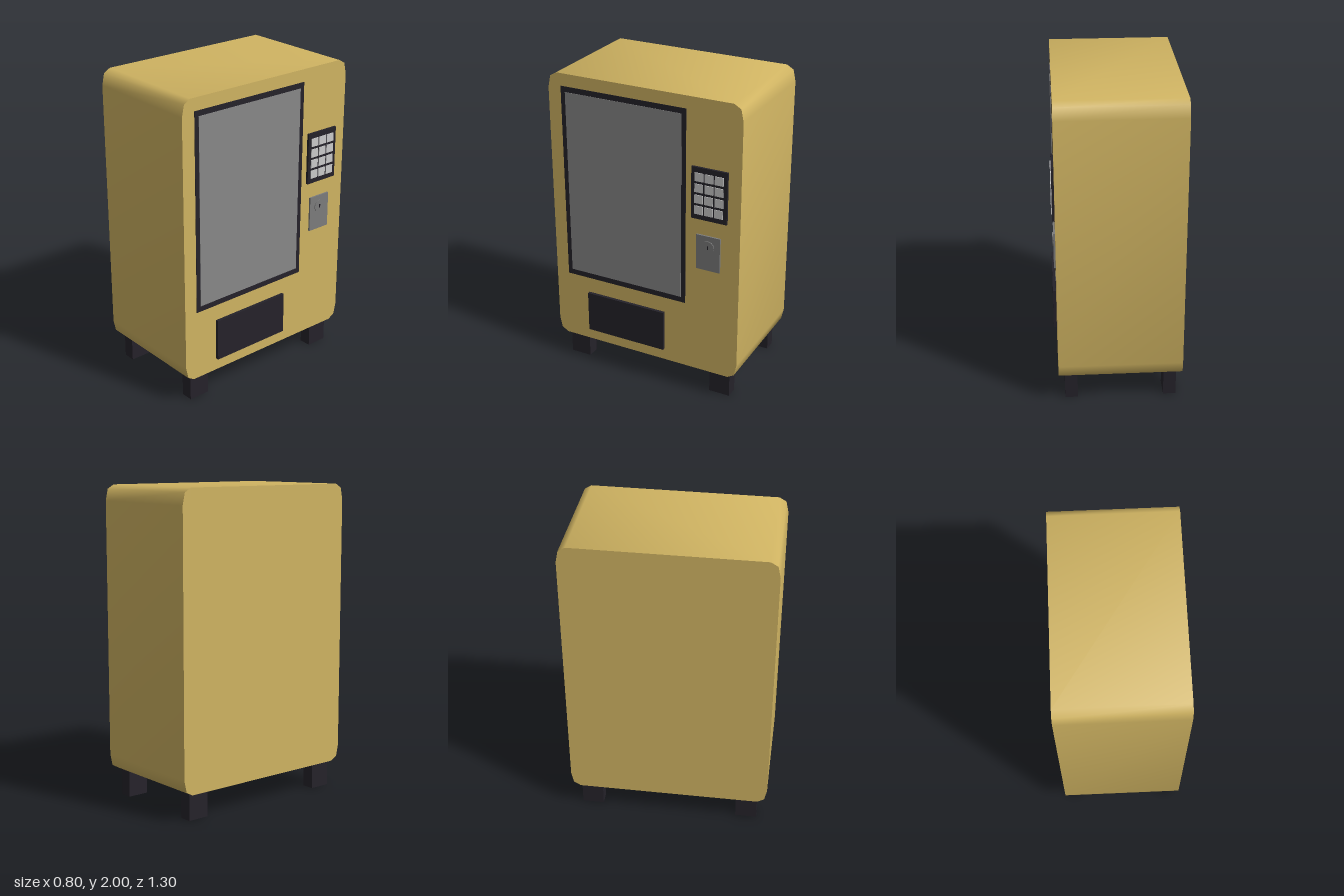
import * as THREE from 'three';
import { toCreasedNormals } from 'three/addons/utils/BufferGeometryUtils.js';

const mat = (color) => new THREE.MeshStandardMaterial({ color });

export function createModel() {
  const model = new THREE.Group();
  const yellow = mat(0xd0b462), dark = mat(0x25222a), glass = mat(0x888888);
  const steel = mat(0x7c7c7c), light = mat(0xcccccc);

  const add = (name, geometry, material, parent = model) => {
    const mesh = new THREE.Mesh(geometry, material);
    mesh.name = name;
    parent.add(mesh);
    return mesh;
  };
  // Box given by its limits on each axis
  const box = (name, [x0, x1], [y0, y1], [z0, z1], material, parent) => {
    const mesh = add(name, new THREE.BoxGeometry(x1 - x0, y1 - y0, z1 - z0), material, parent);
    mesh.position.set((x0 + x1) / 2, (y0 + y1) / 2, (z0 + z1) / 2);
    return mesh;
  };

  // Cabinet: outline with softened corners, extruded along x
  const mid = 1.085, half = 0.915;
  const corner = [[0.65, half - 0.1], [0.634, half - 0.026], [0.59, half]];
  const flip = (sx, sy, list) => list.map(([x, y]) => new THREE.Vector2(sx * x, mid + sy * y));
  const reversed = [...corner].reverse();
  const outline = new THREE.Shape([
    ...flip(1, 1, corner), ...flip(-1, 1, reversed),
    ...flip(-1, -1, corner), ...flip(1, -1, reversed),
  ]);
  const cabinet = new THREE.ExtrudeGeometry(outline, { depth: 0.78, bevelEnabled: false });
  cabinet.rotateY(Math.PI / 2).translate(-0.4, 0, 0);
  add('cabinet', toCreasedNormals(cabinet, 1), yellow);

  // Legs
  for (const x of [-0.325, 0.3]) {
    for (const z of [-0.517, 0.517]) {
      box('leg', [x - 0.04, x + 0.04], [0, 0.18], [z - 0.07, z + 0.07], dark);
    }
  }

  // Display window, nearly flush with the panel
  box('windowFrame', [0.36, 0.382], [0.63, 1.92], [-0.29, 0.562], dark);
  box('windowGlass', [0.36, 0.384], [0.667, 1.885], [-0.26, 0.532], glass);

  // Delivery hatch
  box('deliveryHatch', [0.36, 0.4], [0.25, 0.525], [-0.143, 0.41], dark);

  // Keypad with 3 x 4 buttons
  const keypad = new THREE.Group();
  keypad.name = 'keypad';
  model.add(keypad);
  box('keypadPlate', [0.36, 0.395], [1.24, 1.575], [-0.567, -0.332], dark, keypad);
  for (let row = 0; row < 4; row++) {
    for (let col = 0; col < 3; col++) {
      const y = 1.3 + row * 0.0713, z = -0.383 - col * 0.066;
      box('button', [0.385, 0.4], [y - 0.027, y + 0.027], [z - 0.028, z + 0.028], light, keypad);
    }
  }

  // Lock plate with round cylinder and key slot
  const lock = new THREE.Group();
  lock.name = 'lock';
  model.add(lock);
  box('lockPlate', [0.36, 0.391], [0.904, 1.135], [-0.525, -0.366], steel, lock);
  const barrel = add('lockBarrel', new THREE.CylinderGeometry(0.042, 0.042, 0.016, 12), steel, lock);
  barrel.rotation.z = -Math.PI / 2;
  barrel.position.set(0.388, 1.062, -0.446);
  box('keySlot', [0.39, 0.398], [1.05, 1.074], [-0.45, -0.442], dark, lock);

  return model;
}
